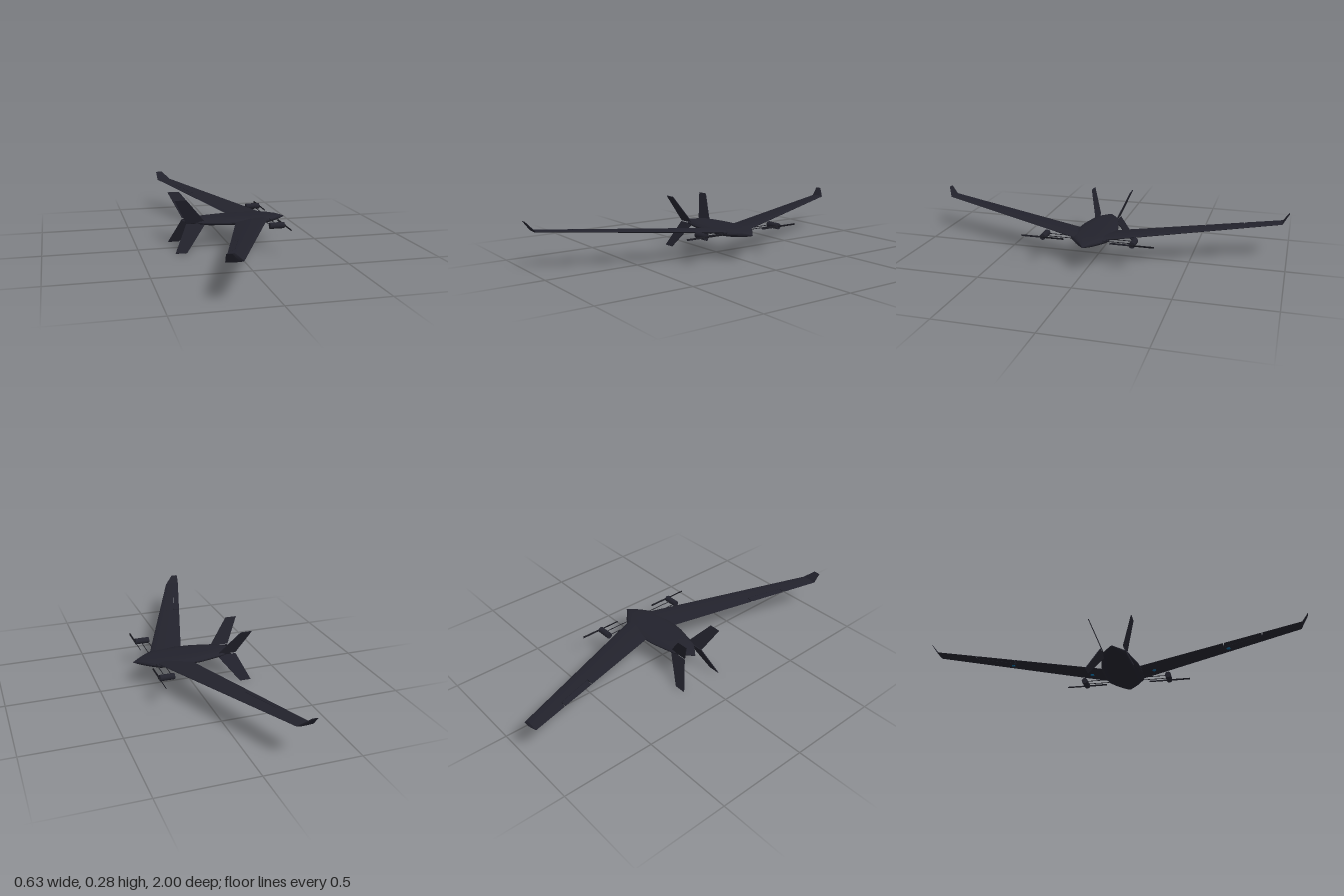
import * as THREE from 'three';
import { toCreasedNormals } from 'three/addons/utils/BufferGeometryUtils.js';

const material = (name, color) => {
  const m = new THREE.MeshStandardMaterial({ color });
  m.name = name;
  return m;
};

// Skin a list of closed rings and cap both ends; faces always point outward.
function loft(rings, crease = 0.5) {
  const tris = [];
  const n = rings[0].length;
  for (let i = 0; i < rings.length - 1; i++) {
    for (let j = 0; j < n; j++) {
      const k = (j + 1) % n;
      const [a, b, c, d] = [rings[i][j], rings[i][k], rings[i + 1][k], rings[i + 1][j]];
      tris.push([a, b, c], [a, c, d]);
    }
  }
  const first = rings[0], last = rings[rings.length - 1];
  for (let j = 1; j < n - 1; j++) {
    tris.push([first[0], first[j + 1], first[j]], [last[0], last[j], last[j + 1]]);
  }
  const base = first[0];
  let volume = 0;
  for (const [a, b, c] of tris) {
    const [p, q, r] = [a, b, c].map((v) => v.clone().sub(base));
    volume += p.dot(q.cross(r));
  }
  const pos = [];
  for (const [a, b, c] of tris) {
    for (const v of volume < 0 ? [a, c, b] : [a, b, c]) pos.push(v.x, v.y, v.z);
  }
  const g = new THREE.BufferGeometry();
  g.setAttribute('position', new THREE.Float32BufferAttribute(pos, 3));
  return toCreasedNormals(g, crease);
}

const V = (x, y, z) => new THREE.Vector3(x, y, z);
const lerp = THREE.MathUtils.lerp;

// Wing planform: leading edge, trailing edge and thickness at span z.
function wingAt(z) {
  const t = (z - 0.1) / 0.865;
  return {
    le: V(lerp(0.19, -0.167, t), lerp(0.153, 0.199, t), z),
    te: V(lerp(0.015, -0.25, t), lerp(0.147, 0.198, t), z),
    half: lerp(0.009, 0.0035, t),
  };
}

// Airfoil ring between two chord fractions, on side s.
function airfoil({ le, te, half }, s, from = 0, to = 1) {
  const upper = [], lower = [];
  const steps = 8;
  for (let i = 0; i <= steps; i++) {
    const u = i / steps;
    const f = lerp(from, to, from === 0 ? u * u : u);
    const h = half * (2.6 * Math.sqrt(f) * (1 - f) + 0.06);
    const p = le.clone().lerp(te, f);
    upper.push(V(p.x, p.y + h, p.z * s));
    lower.unshift(V(p.x, p.y - h, p.z * s));
  }
  return [...upper, ...lower];
}

// Thin flat plate through four corners.
function plate(corners, thickness) {
  const normal = corners[1].clone().sub(corners[0])
    .cross(corners[3].clone().sub(corners[0])).normalize().multiplyScalar(thickness / 2);
  return loft([corners.map((c) => c.clone().add(normal)), corners.map((c) => c.clone().sub(normal))]);
}

export function createModel() {
  const model = new THREE.Group();
  const skin = material('dark airframe', 0x22222c);
  const dark = material('dark fittings', 0x1b1b22);
  const blue = material('blue sensor', 0x0a6090);

  const add = (name, geometry, mat, parent = model) => {
    const mesh = new THREE.Mesh(geometry, mat);
    mesh.name = name;
    parent.add(mesh);
    return mesh;
  };

  // Fuselage stations: x, half width, bottom, top
  const stations = [
    [-0.26, 0.004, 0.142, 0.147], [-0.215, 0.04, 0.136, 0.153], [-0.175, 0.068, 0.129, 0.159],
    [-0.12, 0.08, 0.125, 0.161], [-0.04, 0.1, 0.124, 0.162], [0.04, 0.108, 0.124, 0.162],
    [0.12, 0.106, 0.124, 0.162], [0.185, 0.1, 0.124, 0.162], [0.23, 0.068, 0.125, 0.161],
    [0.27, 0.036, 0.13, 0.157], [0.3, 0.012, 0.137, 0.149], [0.315, 0.001, 0.142, 0.144],
  ];
  const section = [[1, 0.15], [0.9, 0.6], [0.66, 0.94], [0.3, 1]];
  const half = [...section, ...section.map(([w, h]) => [-w, h]).reverse()];
  const ring = [...half, ...half.map(([w, h]) => [w, -h]).reverse()];
  add('fuselage', loft(stations.map(([x, w, b, t]) =>
    ring.map(([z, y]) => V(x, (b + t) / 2 + y * (t - b) / 2, z * w)))), skin);

  for (const s of [1, -1]) {
    const side = new THREE.Group();
    side.name = s > 0 ? 'positiveSide' : 'negativeSide';
    model.add(side);

    // Wing, with a cut-out for the aileron
    const panel = (name, z0, z1, from, to) => add(name,
      loft([z0, z1].map((z) => airfoil(wingAt(z), s, from, to)), 0.6), skin, side);
    panel('innerWing', 0.05, 0.565, 0, 1);
    panel('midWing', 0.565, 0.768, 0, 0.7);
    panel('outerWing', 0.768, 0.965, 0, 1);
    panel('aileron', 0.569, 0.764, 0.715, 1);

    // Upswept winglet
    const tip = { le: V(-0.216, 0.244, 0.998), te: V(-0.254, 0.244, 0.998), half: 0.002 };
    add('winglet', loft([airfoil(wingAt(0.965), s), airfoil(tip, s)], 0.6), skin, side);

    // Upper and lower tail fins
    add('upperFin', plate([
      V(-0.144, 0.147, 0.059 * s), V(-0.255, 0.283, 0.113 * s),
      V(-0.317, 0.283, 0.113 * s), V(-0.248, 0.147, 0.059 * s)], 0.004), skin, side);
    add('lowerFin', plate([
      V(-0.141, 0.141, 0.061 * s), V(-0.255, 0, 0.124 * s),
      V(-0.317, 0, 0.124 * s), V(-0.248, 0.141, 0.061 * s)], 0.004), skin, side);

    // Motor pod, spinner and propeller
    const motor = add('motor', new THREE.CylinderGeometry(0.0165, 0.0165, 0.078, 24), skin, side);
    motor.rotation.z = -Math.PI / 2;
    motor.position.set(0.2, 0.152, 0.24 * s);
    const hub = add('propellerHub', new THREE.CylinderGeometry(0.005, 0.007, 0.01, 16), dark, side);
    hub.rotation.z = -Math.PI / 2;
    hub.position.set(0.241, 0.152, 0.24 * s);
    for (const d of [1, -1]) {
      const blade = add('propellerBlade', new THREE.BoxGeometry(0.003, 0.009, 0.116), dark, side);
      blade.position.set(0.241, 0.152, 0.24 * s + d * 0.058);
      blade.rotation.z = 0.4 * d;
    }

    // Motor support rods
    for (const [x, z] of [[0.17, 0.1], [0.208, 0.07]]) {
      const rod = add('motorStrut', new THREE.CylinderGeometry(0.002, 0.002, 0.235 - z, 8), dark, side);
      rod.rotation.x = Math.PI / 2;
      rod.position.set(x, 0.15, (0.235 + z) / 2 * s);
    }

    // Round sensors under the wing
    for (const [x, z] of [[0.078, 0.175], [-0.067, 0.59]]) {
      const { le, te, half: h } = wingAt(z);
      const y = (le.y + te.y) / 2 - h;
      const sensor = add('wingSensor', new THREE.CylinderGeometry(0.01, 0.01, 0.005, 20), blue, side);
      sensor.position.set(x, y, z * s);
    }
  }
  return model;
}
